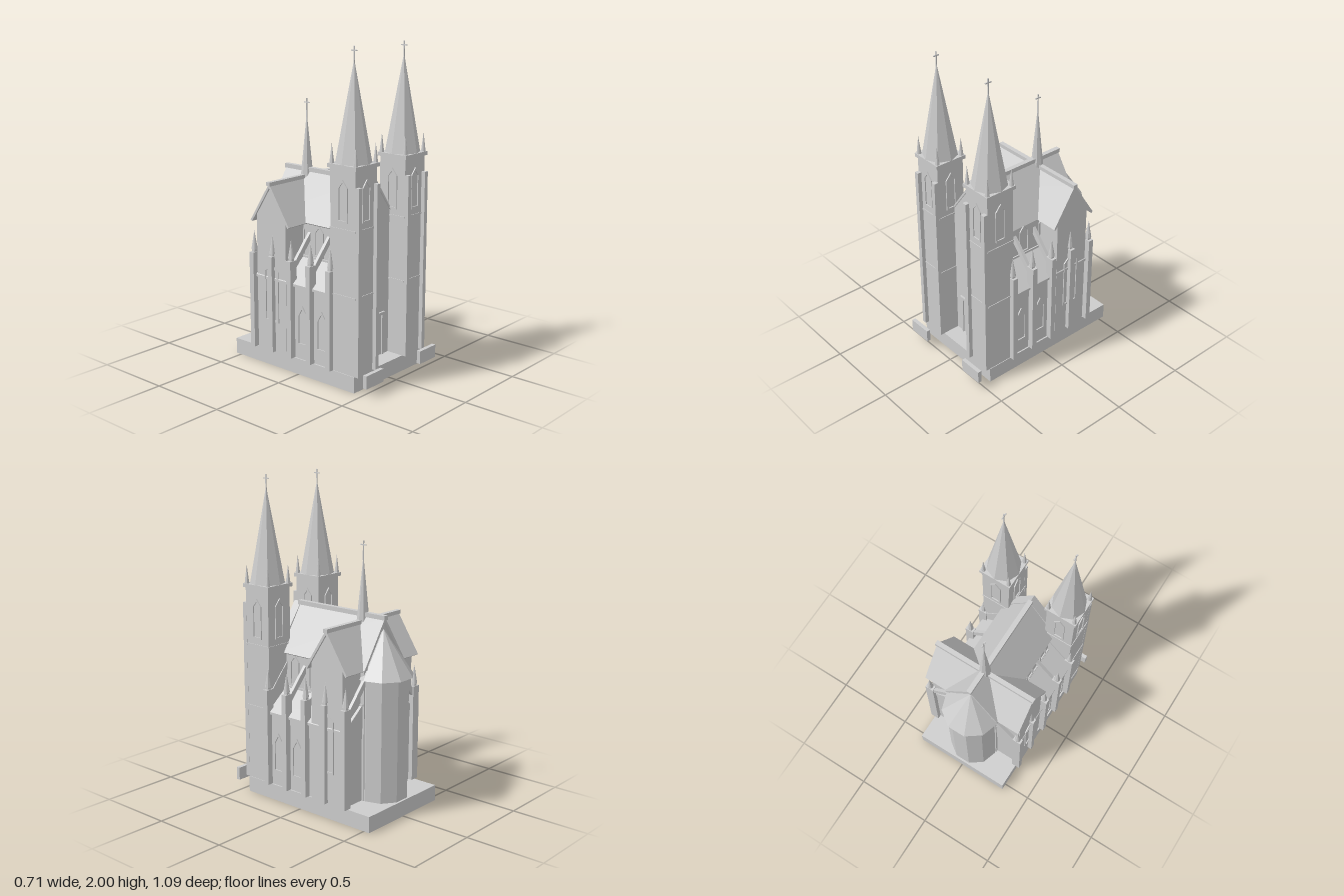
import * as THREE from 'three';

const stone = new THREE.MeshStandardMaterial({ color: 0xcccccc });
stone.name = 'stone grey';

export function createModel() {
  const root = new THREE.Group();
  root.name = 'church';

  const add = (name, geo, parent = root) => {
    const mesh = new THREE.Mesh(geo, stone);
    mesh.name = name;
    parent.add(mesh);
    return mesh;
  };
  // Box given by its lower and upper limits on each axis
  const box = (name, x0, x1, y0, y1, z0, z1, parent) => {
    const g = new THREE.BoxGeometry(x1 - x0, y1 - y0, z1 - z0);
    g.translate((x0 + x1) / 2, (y0 + y1) / 2, (z0 + z1) / 2);
    return add(name, g, parent);
  };
  // Flat-sided cone or prism
  const prism = (name, rTop, rBase, y0, y1, sides, x, z, parent, turn = 0) => {
    const g = new THREE.CylinderGeometry(rTop, rBase, y1 - y0, sides).toNonIndexed();
    g.computeVertexNormals();
    g.rotateY(turn);
    g.translate(x, (y0 + y1) / 2, z);
    return add(name, g, parent);
  };
  const outline = (pts) => new THREE.Shape(pts.map(([x, y]) => new THREE.Vector2(x, y)));
  const extrude = (shape, depth) => new THREE.ExtrudeGeometry(shape, { depth, bevelEnabled: false });

  // Gabled window surround, built facing +z and turned to its wall
  const frame = (name, w, y0, shoulder, peak, x, z, turn, parent = root) => {
    const h = w / 2, t = 0.011;
    const s = outline([[-h, y0], [h, y0], [h, shoulder], [0, peak], [-h, shoulder]]);
    s.holes.push(outline([[-h + t, y0 + t], [-h + t, shoulder - t / 2], [0, peak - t * 1.6],
      [h - t, shoulder - t / 2], [h - t, y0 + t]]));
    const m = add(name, extrude(s, 0.007), parent);
    m.rotation.y = turn;
    m.position.set(x, 0, z);
  };
  // Pole with a crossbar lying along z
  const cross = (x, z, y0, y1, parent) => {
    box('crossPole', x - 0.003, x + 0.003, y0 - 0.03, y1, z - 0.003, z + 0.003, parent);
    box('crossBar', x - 0.003, x + 0.003, y1 - 0.028, y1 - 0.021, z - 0.02, z + 0.02, parent);
  };

  // Plinth and the two low blocks in front
  box('plinth', -0.324, 0.324, 0, 0.1, -0.54, 0.44);
  for (const s of [-1, 1]) box('frontBlock', s * 0.257 - 0.078, s * 0.257 + 0.078, 0.057, 0.138, 0.518, 0.543);

  // Nave, aisles and transept bodies
  const gable = (h, eave, peak) => outline([[-h, 0.1], [h, 0.1], [h, eave], [0, peak], [-h, eave]]);
  const naveBody = extrude(gable(0.165, 0.93, 1.18), 0.64);
  naveBody.translate(0, 0, -0.365);
  add('nave', naveBody);
  const transeptBody = extrude(gable(0.12, 0.95, 1.14), 0.65);
  transeptBody.translate(0, 0, -0.325);
  transeptBody.rotateY(Math.PI / 2);
  transeptBody.translate(0, 0, -0.217);
  add('transept', transeptBody);

  // Steep roofs as chevron slabs
  const roofShape = (h, eave, peak) => outline([[-h, eave], [-h + 0.012, eave - 0.008], [0, peak - 0.028],
    [h - 0.012, eave - 0.008], [h, eave], [0, peak]]);
  const naveRoof = extrude(roofShape(0.188, 0.915, 1.2), 0.67);
  naveRoof.translate(0, 0, -0.386);
  add('naveRoof', naveRoof);
  const transeptRoof = extrude(roofShape(0.16, 0.912, 1.158), 0.672);
  transeptRoof.translate(0, 0, -0.336);
  transeptRoof.rotateY(Math.PI / 2);
  transeptRoof.translate(0, 0, -0.219);
  add('transeptRoof', transeptRoof);
  box('naveRidge', -0.015, 0.015, 1.185, 1.212, -0.393, 0.292);
  box('transeptRidge', -0.343, 0.343, 1.143, 1.167, -0.234, -0.205);

  // Aisles with lean-to roofs, buttresses and side windows
  for (const s of [-1, 1]) {
    const side = new THREE.Group();
    side.name = s > 0 ? 'leftSide' : 'rightSide';
    root.add(side);
    const turn = s * Math.PI / 2;
    box('aisle', s * 0.23 - 0.085, s * 0.23 + 0.085, 0.1, 0.56, -0.35, 0.26, side);
    const lean = extrude(outline([[s * 0.15, 0.555], [s * 0.33, 0.555], [s * 0.33, 0.57], [s * 0.165, 0.7], [s * 0.15, 0.7]]), 0.62);
    lean.translate(0, 0, -0.355);
    add('aisleRoof', lean, side);
    box('clerestorySill', s * 0.168 - 0.006, s * 0.168 + 0.006, 0.693, 0.705, -0.36, 0.27, side);

    for (let i = 0; i < 5; i++) {
      const z = 0.259 - i * 0.155;
      box('buttress', s * 0.325 - 0.028, s * 0.325 + 0.028, 0.1, 0.71, z - 0.017, z + 0.017, side);
      box('pinnacleBase', s * 0.325 - 0.012, s * 0.325 + 0.012, 0.71, 0.735, z - 0.012, z + 0.012, side);
      prism('pinnacle', 0, 0.02, 0.725, 0.845, 8, s * 0.325, z, side);
      if (i === 3) continue;
      const arm = extrude(outline([[s * 0.31, 0.64], [s * 0.31, 0.69], [s * 0.16, 0.86], [s * 0.16, 0.81]]), 0.02);
      arm.translate(0, 0, z - 0.01);
      add('flyingButtress', arm, side);
    }
    for (let i = 0; i < 3; i++) {
      const z = 0.184 - i * 0.154;
      frame('aisleWindow', 0.08, 0.19, 0.38, 0.44, s * 0.315, z, turn, side);
      frame('clerestoryWindow', 0.074, 0.71, 0.865, 0.91, s * 0.165, z, turn, side);
    }
    frame('transeptWindow', 0.115, 0.29, 0.615, 0.665, s * 0.325, -0.215, turn, side);
  }

  // Ten-sided apse with a conical roof
  prism('apse', 0.16, 0.16, 0.1, 0.86, 10, 0, -0.375, root, Math.PI / 10);
  prism('apseRoof', 0, 0.186, 0.853, 1.13, 10, 0, -0.375, root, Math.PI / 10);

  // Gabled west front with coping and doorway
  const front = extrude(gable(0.14, 0.995, 1.185), 0.05);
  front.translate(0, 0, 0.278);
  add('frontWall', front);
  const coping = extrude(outline([[-0.135, 1.0], [-0.135, 1.016], [0, 1.205], [0.135, 1.016], [0.135, 1.0], [0, 1.182]]), 0.055);
  coping.translate(0, 0, 0.28);
  add('frontCoping', coping);
  for (const s of [-1, 1]) box('doorJamb', s * 0.073 - 0.008, s * 0.073 + 0.008, 0.1, 0.36, 0.32, 0.336);
  box('doorLintel', -0.088, 0.088, 0.358, 0.375, 0.32, 0.341);

  // Spire over the crossing
  prism('crossingSpire', 0, 0.039, 1.15, 1.55, 8, 0, -0.218);
  cross(0, -0.218, 1.55, 1.635);

  // Pair of front towers
  for (const s of [-1, 1]) {
    const tower = new THREE.Group();
    tower.name = s > 0 ? 'leftTower' : 'rightTower';
    tower.position.set(s * 0.226, 0, 0.348);
    root.add(tower);
    const slab = (name, h, y0, y1) => box(name, -h, h, y0, y1, -h, h, tower);
    slab('towerBody', 0.094, 0.1, 1.335);
    slab('lowerBand', 0.098, 0.57, 0.58);
    slab('upperBand', 0.098, 0.965, 0.975);
    slab('cornice', 0.106, 1.322, 1.345);
    prism('spire', 0, 0.107, 1.34, 1.93, 8, 0, 0, tower);
    cross(0, 0, 1.93, 2, tower);
    for (const x of [-1, 1]) {
      box('towerButtress', x * 0.081 - 0.014, x * 0.081 + 0.014, 0.1, 1.225, 0.09, 0.12, tower);
      for (const z of [-1, 1]) prism('towerPinnacle', 0, 0.015, 1.34, 1.46, 8, x * 0.088, z * 0.088, tower);
    }
    for (let k = 0; k < 4; k++) {
      const a = k * Math.PI / 2;
      frame('belfryWindow', 0.074, 1.012, 1.215, 1.26, Math.sin(a) * 0.094, Math.cos(a) * 0.094, a, tower);
    }
  }
  return root;
}
